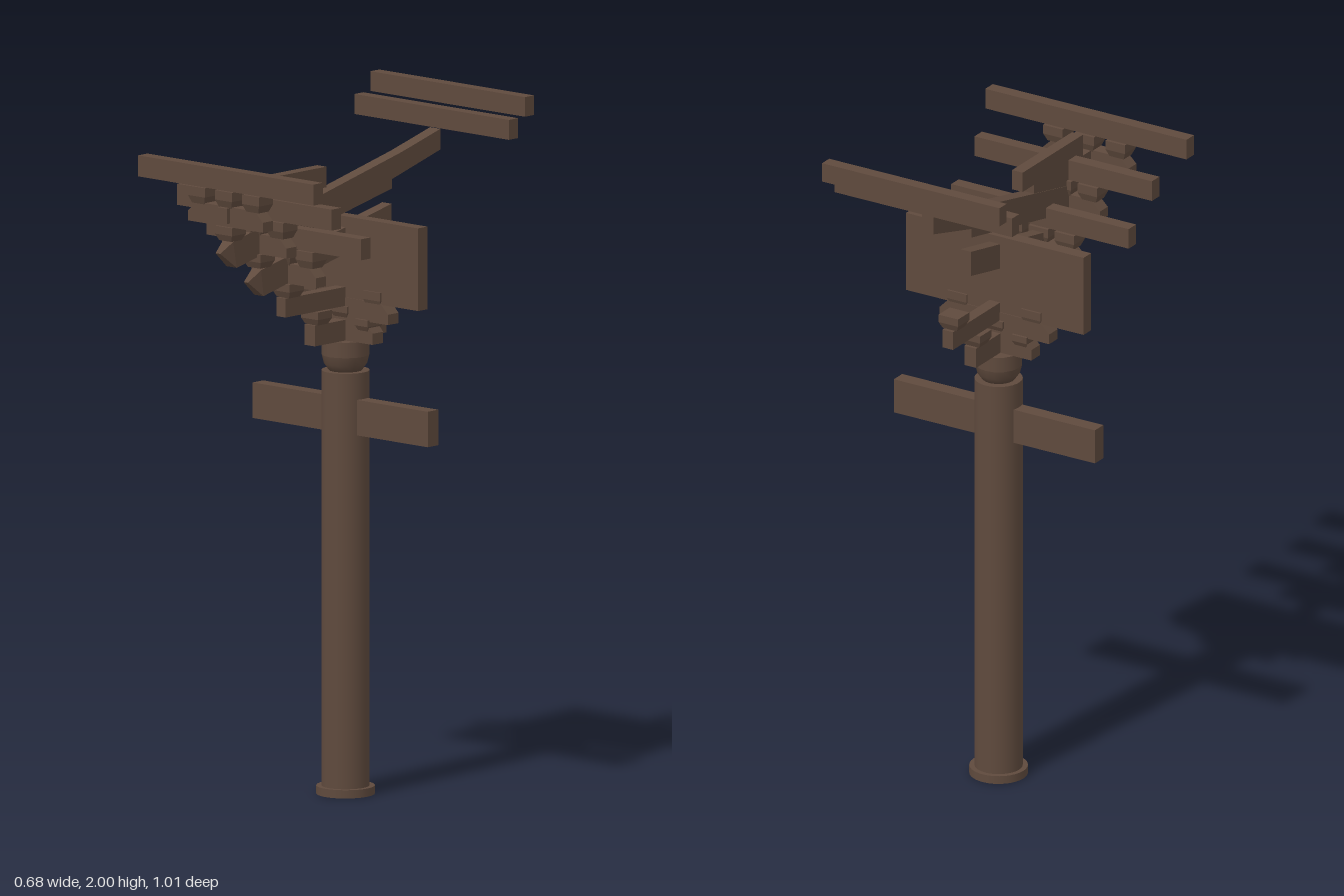
import * as THREE from 'three';

const timber = new THREE.MeshStandardMaterial({ color: 0x5f4a3d });
timber.name = 'darkTimber';

const CZ = -0.035; // column axis

export function createModel() {
  const root = new THREE.Group();
  root.name = 'bracketColumn';

  const add = (name, geometry, x = 0, y = 0, z = 0) => {
    const mesh = new THREE.Mesh(geometry, timber);
    mesh.name = name;
    mesh.position.set(x, y, z);
    root.add(mesh);
    return mesh;
  };

  // Box from bottom to top height, centred on x and z
  const beam = (name, w, y0, y1, d, z, x = 0) =>
    add(name, new THREE.BoxGeometry(w, y1 - y0, d), x, (y0 + y1) / 2, z);

  // Bearing block: square top over a flared foot
  const block = (name, x, y0, y1, z, w = 0.066, d = 0.06) => {
    const mid = y0 + (y1 - y0) * 0.45;
    beam(name, w, mid, y1, d, z, x);
    const foot = new THREE.CylinderGeometry(Math.SQRT1_2, Math.SQRT1_2 * 0.72, mid - y0, 4).toNonIndexed();
    foot.rotateY(Math.PI / 4).scale(w, 1, d);
    foot.computeVertexNormals();
    add(name + 'Foot', foot, x, (y0 + mid) / 2, z);
  };

  // Plate with a profile in (z, y), centred on x = 0
  const sidePlate = (name, points, w, tipZ = Infinity) => {
    const shape = new THREE.Shape(points.map(([z, y]) => new THREE.Vector2(z, y)));
    const geometry = new THREE.ExtrudeGeometry(shape, { depth: w, bevelEnabled: false });
    geometry.rotateY(-Math.PI / 2).translate(w / 2, 0, 0);
    const p = geometry.attributes.position;
    for (let i = 0; i < p.count; i++) if (p.getZ(i) > tipZ) p.setX(i, p.getX(i) * 0.45);
    geometry.computeVertexNormals();
    return add(name, geometry);
  };

  // Crosswise bracket arm, full width below and sloped at the upper ends
  const crossArm = (name, half, y0, y1, z, d = 0.045) => {
    const ym = y0 + (y1 - y0) * 0.5;
    const shape = new THREE.Shape([
      [-half, y0], [half, y0], [half, ym], [half - 0.03, y1], [-half + 0.03, y1], [-half, ym],
    ].map(([x, y]) => new THREE.Vector2(x, y)));
    const geometry = new THREE.ExtrudeGeometry(shape, { depth: d, bevelEnabled: false });
    add(name, geometry, 0, 0, z - d / 2);
  };

  // Column with base and rounded capital
  add('columnBase', new THREE.CylinderGeometry(0.084, 0.084, 0.024, 32), 0, 0.012, CZ);
  add('columnShaft', new THREE.CylinderGeometry(0.069, 0.069, 1.22, 32), 0, 0.62, CZ);
  const capital = [[0, 1.225], [0.048, 1.23], [0.062, 1.25], [0.068, 1.275], [0.068, 1.275],
    [0.068, 1.32], [0.068, 1.32], [0, 1.32]].map(([r, y]) => new THREE.Vector2(r, y));
  add('capital', new THREE.LatheGeometry(capital, 16), 0, 0, CZ);

  // Tie beam through the column and wall panel above it
  beam('tieBeam', 0.68, 1.05, 1.153, 0.045, CZ);
  beam('wallPanel', 0.6, 1.44, 1.68, 0.04, CZ);

  // Two crossing bracket tiers over the capital
  crossArm('lowerCrossArm', 0.125, 1.32, 1.385, CZ);
  beam('lowerLongArm', 0.04, 1.32, 1.38, 0.302, CZ);
  for (const z of [0.087, -0.155]) block('lowerLongBlock', 0, 1.38, 1.42, z);
  for (const x of [-0.088, 0.088]) block('lowerCrossBlock', x, 1.355, 1.39, CZ, 0.05);
  block('lowerCentreBlock', 0, 1.385, 1.42, CZ);
  crossArm('upperCrossArm', 0.185, 1.385, 1.445, CZ);
  beam('upperLongArm', 0.036, 1.42, 1.475, 0.543, CZ);
  for (const x of [-0.125, 0.125]) block('upperCrossBlock', x, 1.43, 1.475, CZ, 0.066, 0.052);
  for (const z of [0.207, -0.273]) block('upperLongBlock', 0, 1.475, 1.517, z);

  // Slanting lever arms with pointed beaks
  sidePlate('lowerLever', [
    [0.385, 1.54], [0.33, 1.495], [-0.21, 1.615], [-0.21, 1.69], [0.34, 1.572],
  ], 0.036, 0.36);
  sidePlate('upperLever', [
    [0.503, 1.64], [0.445, 1.593], [-0.21, 1.735], [-0.21, 1.762], [-0.413, 1.82],
    [-0.413, 1.88], [-0.25, 1.835], [0.46, 1.67],
  ], 0.04, 0.48);

  // Upright plate on the upper lever, with its nose
  sidePlate('ridgePlate', [
    [0.385, 1.835], [0.385, 1.67], [0.125, 1.73], [0.125, 1.775], [0.065, 1.775], [0.065, 1.835],
  ], 0.036);
  beam('plateNose', 0.036, 1.725, 1.77, 0.11, 0.43);

  // Front stacks: block, cross arm, three blocks, beam
  const stacks = [
    { z: 0.205, y: 1.475, half: 0.125, bx: 0.088, beamHalf: 0.3 },
    { z: 0.329, y: 1.578, half: 0.125, bx: 0.088, beamHalf: 0.3 },
    { z: 0.45, y: 1.672, half: 0.145, bx: 0.105, beamHalf: 0.34 },
  ];
  for (const { z, y, half, bx, beamHalf } of stacks) {
    block('stackFootBlock', 0, y, y + 0.042, z);
    crossArm('stackCrossArm', half, y + 0.042, y + 0.1, z, 0.042);
    for (const x of [-bx, 0, bx]) block('stackTopBlock', x, y + 0.096, y + 0.145, z);
    beam('frontBeam', beamHalf * 2, y + 0.145, y + 0.206, 0.04, z);
  }

  // Rear purlins above the lever tail
  beam('rearLowerBeam', 0.6, 1.885, 1.943, 0.038, -0.417);
  beam('rearUpperBeam', 0.6, 1.943, 2.0, 0.038, -0.484);

  return root;
}
